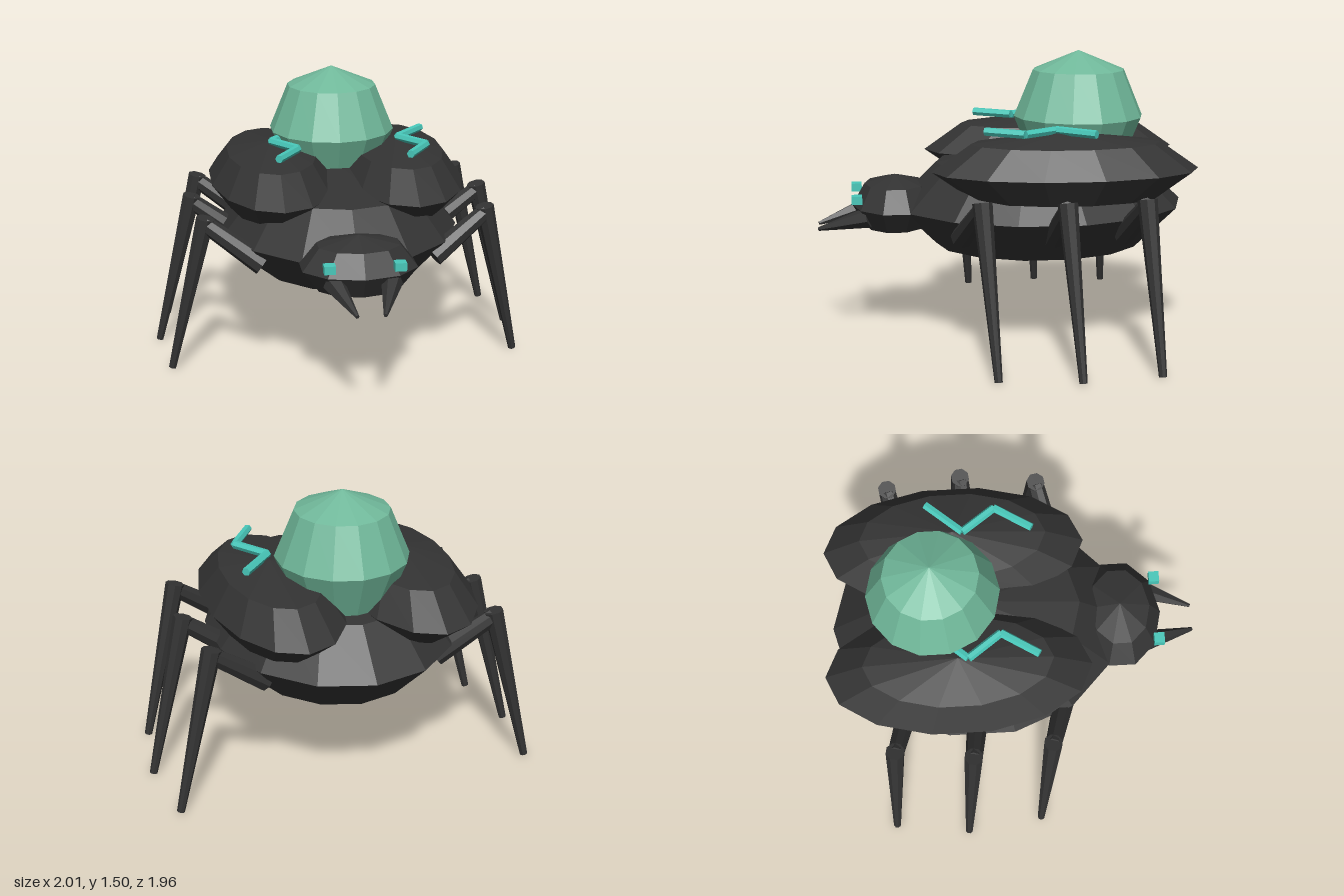
import * as THREE from 'three';

export function createModel() {
  const model = new THREE.Group();
  const shell = new THREE.MeshStandardMaterial({ color: 0x333333, flatShading: true });
  shell.name = 'dark shell';
  const glass = new THREE.MeshStandardMaterial({ color: 0x70b89a, flatShading: true });
  glass.name = 'green dome';
  const glow = new THREE.MeshStandardMaterial({ color: 0x48c8ba, flatShading: true });
  glow.name = 'turquoise glow';

  const add = (name, geometry, material, parent = model) => {
    const mesh = new THREE.Mesh(geometry, material);
    mesh.name = name;
    parent.add(mesh);
    return mesh;
  };

  // Coarse ellipsoid with four height bands and a vertex pointing along z
  const blob = (name, centre, radii, sides, material) => {
    const g = new THREE.SphereGeometry(1, sides, 4);
    g.rotateY(Math.PI / 2);
    g.scale(...radii);
    add(name, g, material).position.set(...centre);
  };

  // Tapered rod between two points
  const rod = (name, a, b, ra, rb, sides, material, parent) => {
    const from = new THREE.Vector3(...a), to = new THREE.Vector3(...b);
    const dir = to.clone().sub(from);
    const mesh = add(name, new THREE.CylinderGeometry(rb, ra, dir.length(), sides), material, parent);
    mesh.position.copy(from).add(to).multiplyScalar(0.5);
    mesh.quaternion.setFromUnitVectors(new THREE.Vector3(0, 1, 0), dir.normalize());
  };

  // Body, head and dome
  blob('body', [0, 0.7, -0.19], [0.64, 0.31, 0.77], 14, shell);
  blob('head', [0, 0.7, 0.57], [0.305, 0.16, 0.227], 10, shell);
  blob('dome', [0, 1.16, -0.405], [0.34, 0.345, 0.343], 14, glass);

  // Leg rows: hip, knee and foot on the left side
  const legs = [
    ['front', [0.45, 0.61, 0.25], [0.74, 0.82, 0.17], [0.93, 0.005, 0.11]],
    ['middle', [0.5, 0.61, -0.21], [0.79, 0.82, -0.24], [0.985, 0.005, -0.295]],
    ['rear', [0.45, 0.61, -0.58], [0.74, 0.82, -0.64], [0.93, 0.005, -0.695]],
  ];

  for (const [side, s] of [['left', 1], ['right', -1]]) {
    const flip = ([x, y, z]) => [s * x, y, z];
    blob(`${side}WingCase`, [s * 0.345, 0.93, -0.293], [0.342, 0.2, 0.688], 14, shell);

    for (const [row, hip, knee, foot] of legs) {
      const leg = new THREE.Group();
      leg.name = `${side}${row[0].toUpperCase()}${row.slice(1)}Leg`;
      model.add(leg);
      rod('upperLeg', flip(hip), flip(knee), 0.058, 0.044, 8, shell, leg);
      const top = [knee[0] - 0.005, knee[1] + 0.03, knee[2]];
      rod('lowerLeg', flip(top), flip(foot), 0.05, 0.02, 8, shell, leg);
    }

    // Jaws and eyes
    rod(`${side}Mandible`, flip([0.145, 0.66, 0.71]), flip([0.068, 0.585, 0.975]), 0.056, 0.01, 6, shell);
    add(`${side}Eye`, new THREE.BoxGeometry(0.058, 0.042, 0.055), glow).position.set(s * 0.174, 0.76, 0.772);

    // Zigzag strip, running the same way on both wing cases
    const strip = new THREE.Group();
    strip.name = `${side}Zigzag`;
    strip.position.set(s * 0.345, 1.135, 0);
    model.add(strip);
    const path = [[0, 0.12], [0.12, -0.07], [-0.005, -0.24], [0.155, -0.425]];
    for (let i = 0; i < 3; i++) {
      const [x0, z0] = path[i], [x1, z1] = path[i + 1];
      rod('zigzagBar', [x0, 0, z0], [x1, 0, z1], 0.022, 0.022, 6, glow, strip);
    }
  }
  return model;
}
